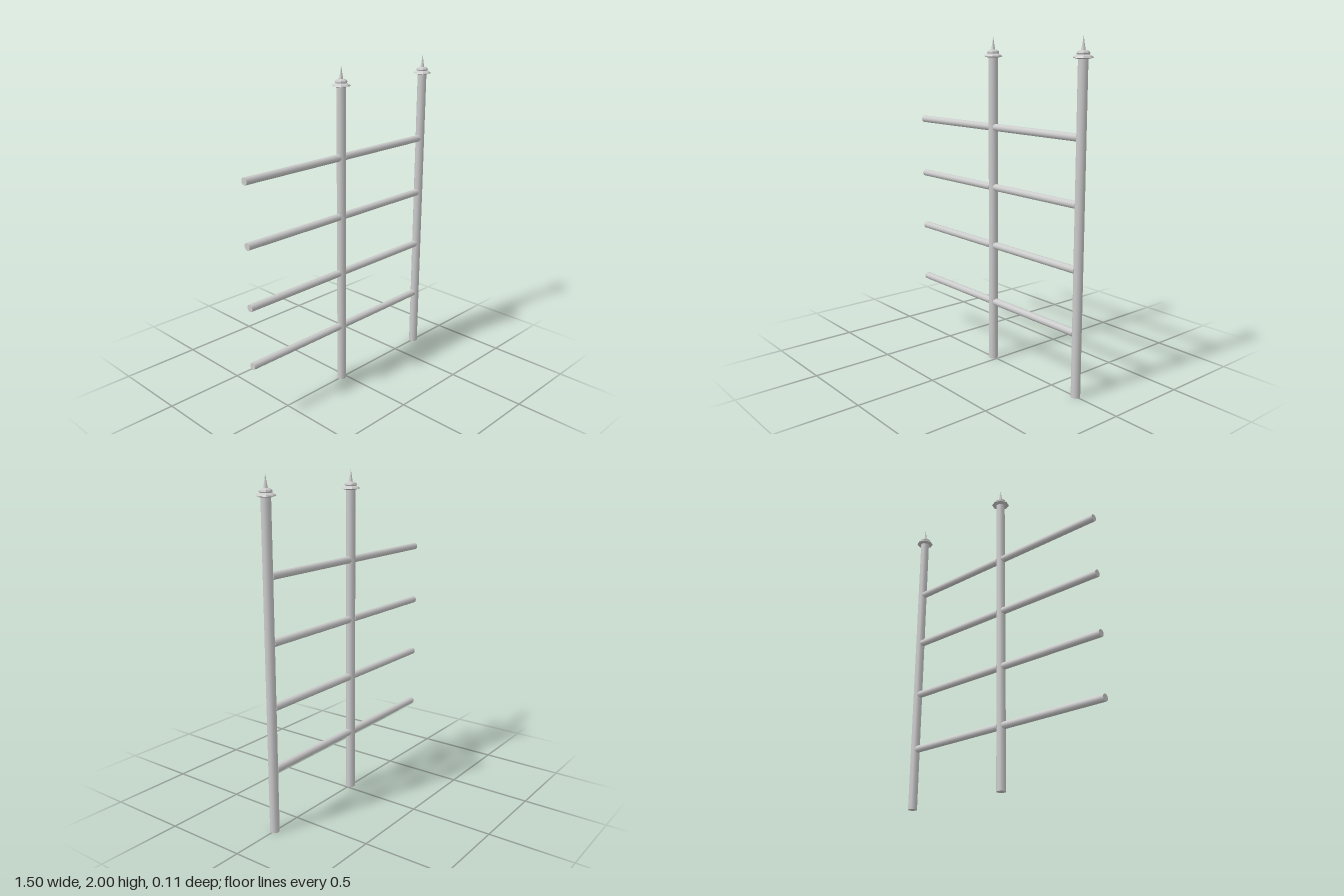
import * as THREE from 'three';

export function createModel() {
  const group = new THREE.Group();
  group.name = 'fenceSection';
  const smooth = new THREE.MeshStandardMaterial({ color: 0xcccccc });
  const faceted = new THREE.MeshStandardMaterial({ color: 0xcccccc, flatShading: true, side: THREE.DoubleSide });

  const add = (parent, geometry, material, name, x, y) => {
    const mesh = new THREE.Mesh(geometry, material);
    mesh.name = name;
    mesh.position.set(x, y, 0);
    parent.add(mesh);
    return mesh;
  };

  const postXs = [-0.033, 0.695];
  const postHeight = 1.89;
  const postGeometry = new THREE.CylinderGeometry(0.028, 0.028, postHeight, 12);

  // Octagonal finial: flared skirt, small collar and slender spike
  const finialProfile = [
    [0.026, 1.88], [0.055, 1.887], [0.05, 1.895], [0.033, 1.904],
    [0.036, 1.91], [0.033, 1.919], [0.022, 1.926], [0.012, 1.927],
    [0.007, 1.955], [0, 2],
  ].map(([r, y]) => new THREE.Vector2(r, y));
  const finialGeometry = new THREE.LatheGeometry(finialProfile, 8);

  for (const x of postXs) {
    const post = new THREE.Group();
    post.name = 'post';
    post.position.x = x;
    group.add(post);
    add(post, postGeometry, smooth, 'postShaft', 0, postHeight / 2);
    add(post, finialGeometry, faceted, 'finial', 0, 0);
  }

  // Rails: one span reaching each post from the left, ends set into the posts
  const spans = [[-0.755, -0.053], [-0.013, 0.675]];
  for (const [start, end] of spans) {
    const railGeometry = new THREE.CylinderGeometry(0.022, 0.022, end - start, 12);
    railGeometry.rotateZ(Math.PI / 2);
    for (let i = 0; i < 4; i++) {
      add(group, railGeometry, smooth, 'rail', (start + end) / 2, 0.376 + i * 0.365);
    }
  }

  return group;
}
